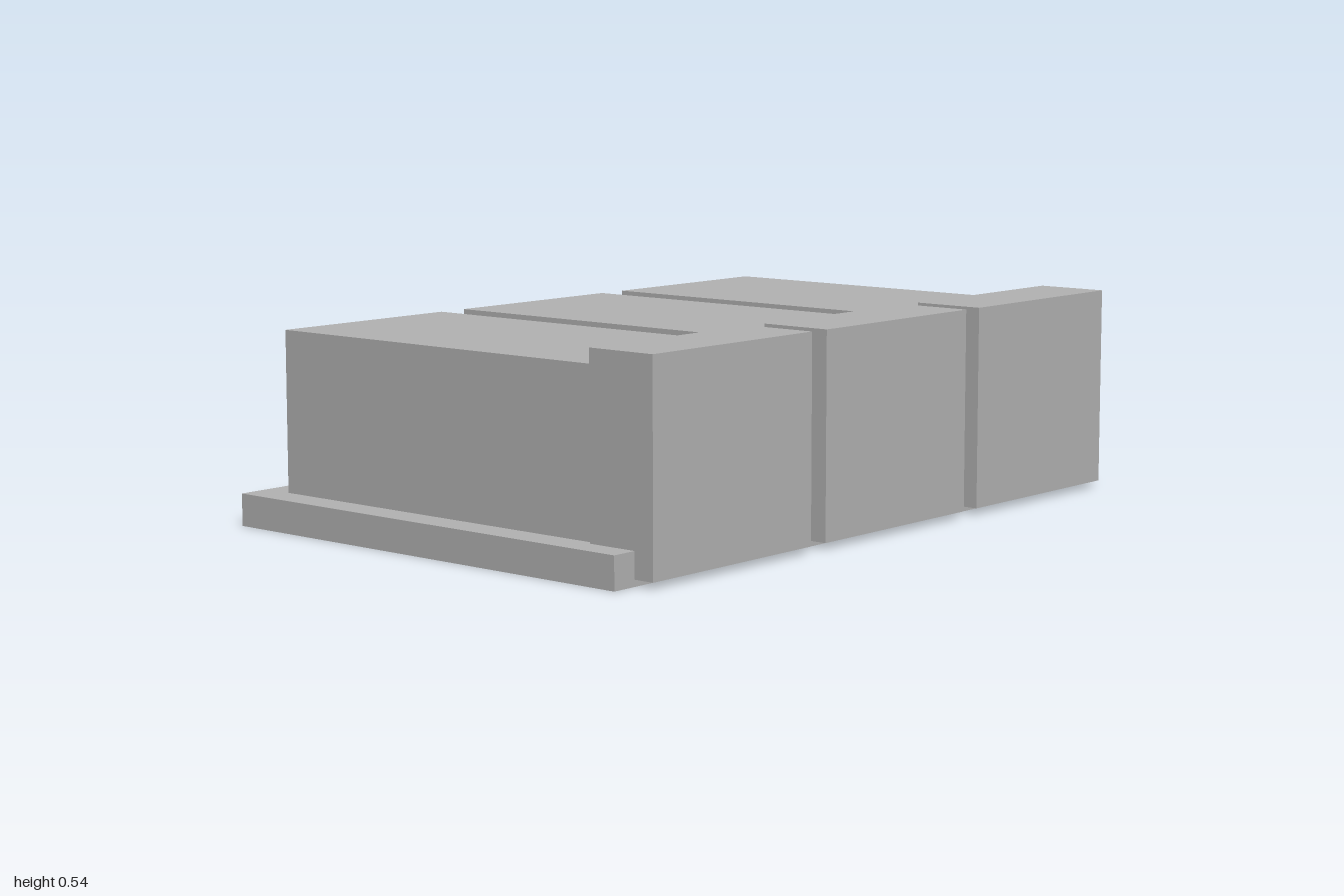
import * as THREE from 'three';

export function createModel() {
  const group = new THREE.Group();
  const grey = new THREE.MeshStandardMaterial({ color: 0xb2b2b2 });
  grey.name = 'plain grey';

  // Box given by its lower and upper corner
  function addBox(name, [x0, y0, z0], [x1, y1, z1], parent) {
    const mesh = new THREE.Mesh(new THREE.BoxGeometry(x1 - x0, y1 - y0, z1 - z0), grey);
    mesh.position.set((x0 + x1) / 2, (y0 + y1) / 2, (z0 + z1) / 2);
    mesh.name = name;
    parent.add(mesh);
  }

  // Base slab
  addBox('base', [-0.667, 0, -1], [0.611, 0.084, 1], group);

  // Three equal blocks, each with a taller end panel overhanging the base
  ['rearUnit', 'middleUnit', 'frontUnit'].forEach((name, i) => {
    const unit = new THREE.Group();
    unit.name = name;
    unit.position.z = (i - 1) * 0.639;
    addBox('body', [-0.584, 0.084, -0.277], [0.472, 0.503, 0.277], unit);
    addBox('endPanel', [0.472, 0.017, -0.291], [0.667, 0.543, 0.291], unit);
    group.add(unit);
  });

  return group;
}
